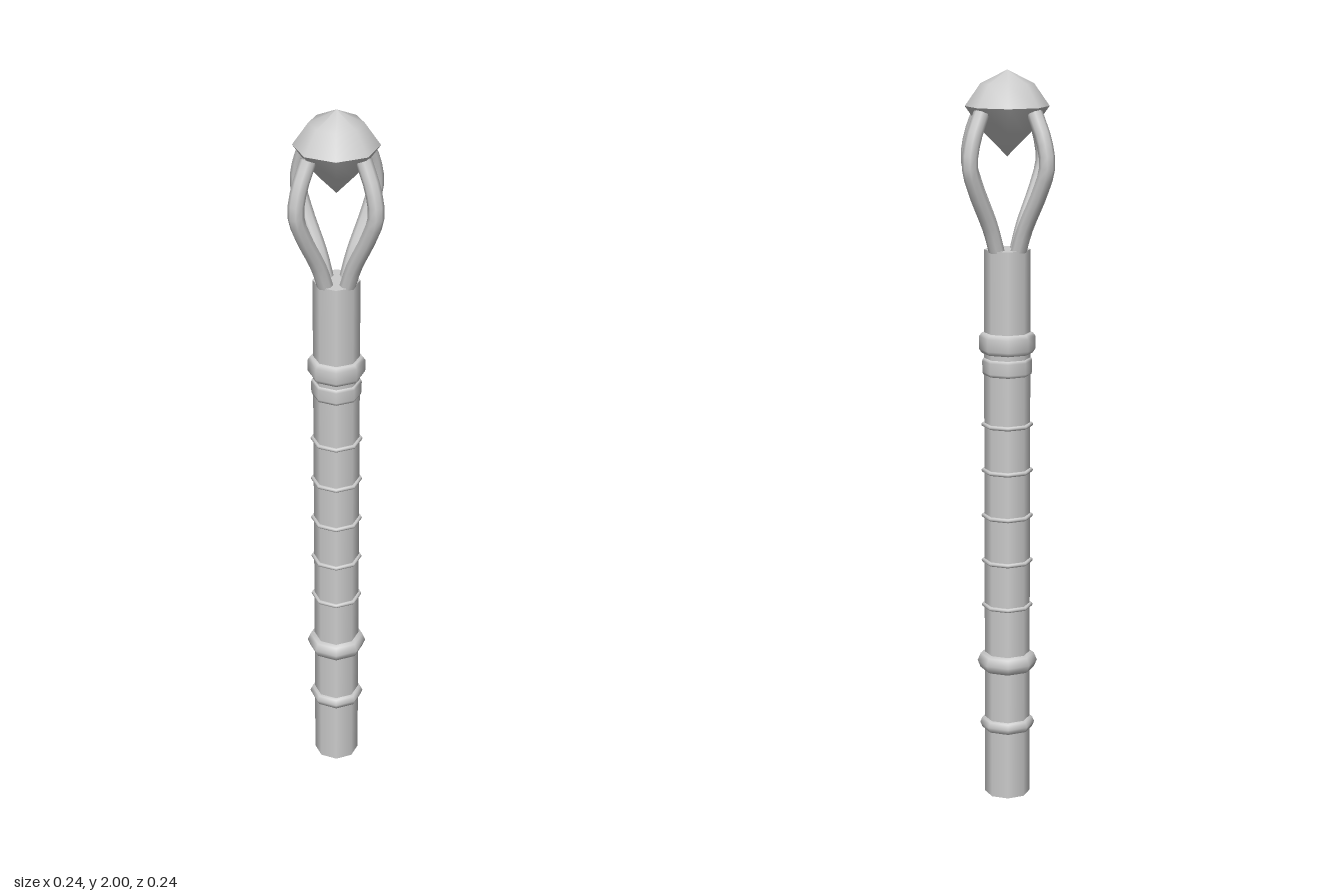
import * as THREE from 'three';

const SIDES = 8;

export function createModel() {
  const model = new THREE.Group();
  const material = new THREE.MeshStandardMaterial({ color: 0xcccccc, side: THREE.DoubleSide });

  const add = (name, geometry, y = 0, parent = model) => {
    const mesh = new THREE.Mesh(geometry, material);
    mesh.name = name;
    mesh.position.y = y;
    parent.add(mesh);
    return mesh;
  };
  const lathe = (points) =>
    new THREE.LatheGeometry(points.map(([r, y]) => new THREE.Vector2(r, y)), SIDES);
  const ring = (radius, tube) =>
    new THREE.TorusGeometry(radius, tube, 8, SIDES).rotateX(Math.PI / 2);

  // Eight-sided shaft
  add('shaft', new THREE.CylinderGeometry(0.062, 0.062, 1.53, SIDES), 0.765);

  // Rounded rings near the foot
  add('footRing', ring(0.055, 0.02), 0.205);
  add('gripLowerRing', ring(0.053, 0.029), 0.386);

  // Thin evenly spaced grip rings
  for (let i = 0; i < 5; i++) add('gripRing', ring(0.064, 0.006), 0.547 + i * 0.127);

  // Two collars above the grip
  add('lowerCollar', lathe([[0.055, 1.19], [0.065, 1.193], [0.067, 1.2], [0.067, 1.23], [0.065, 1.237], [0.055, 1.24]]));
  add('upperCollar', lathe([[0.055, 1.25], [0.069, 1.252], [0.076, 1.263], [0.076, 1.296], [0.069, 1.306], [0.055, 1.309]]));

  // Four bowed prongs on the diagonals, holding the head
  const path = new THREE.CatmullRomCurve3(
    [[0.035, 1.51], [0.062, 1.585], [0.117, 1.69], [0.141, 1.755], [0.131, 1.82], [0.097, 1.893]]
      .map(([r, y]) => new THREE.Vector3(r, y, 0)));
  const prongGeometry = new THREE.TubeGeometry(path, 14, 0.021, 8);
  const prongs = new THREE.Group();
  prongs.name = 'prongs';
  model.add(prongs);
  for (let i = 0; i < 4; i++) {
    add('prong', prongGeometry, 0, prongs).rotation.y = Math.PI / 4 + i * Math.PI / 2;
  }

  // Gem head: domed cap over a pointed underside, sharing a sharp rim
  const gem = new THREE.Group();
  gem.name = 'gem';
  model.add(gem);
  add('gemCap', lathe([[0.111, 1.906], [0.07, 1.965], [0, 2]]), 0, gem);
  add('gemPoint', lathe([[0, 1.775], [0.062, 1.838], [0.111, 1.906]]), 0, gem);

  return model;
}
